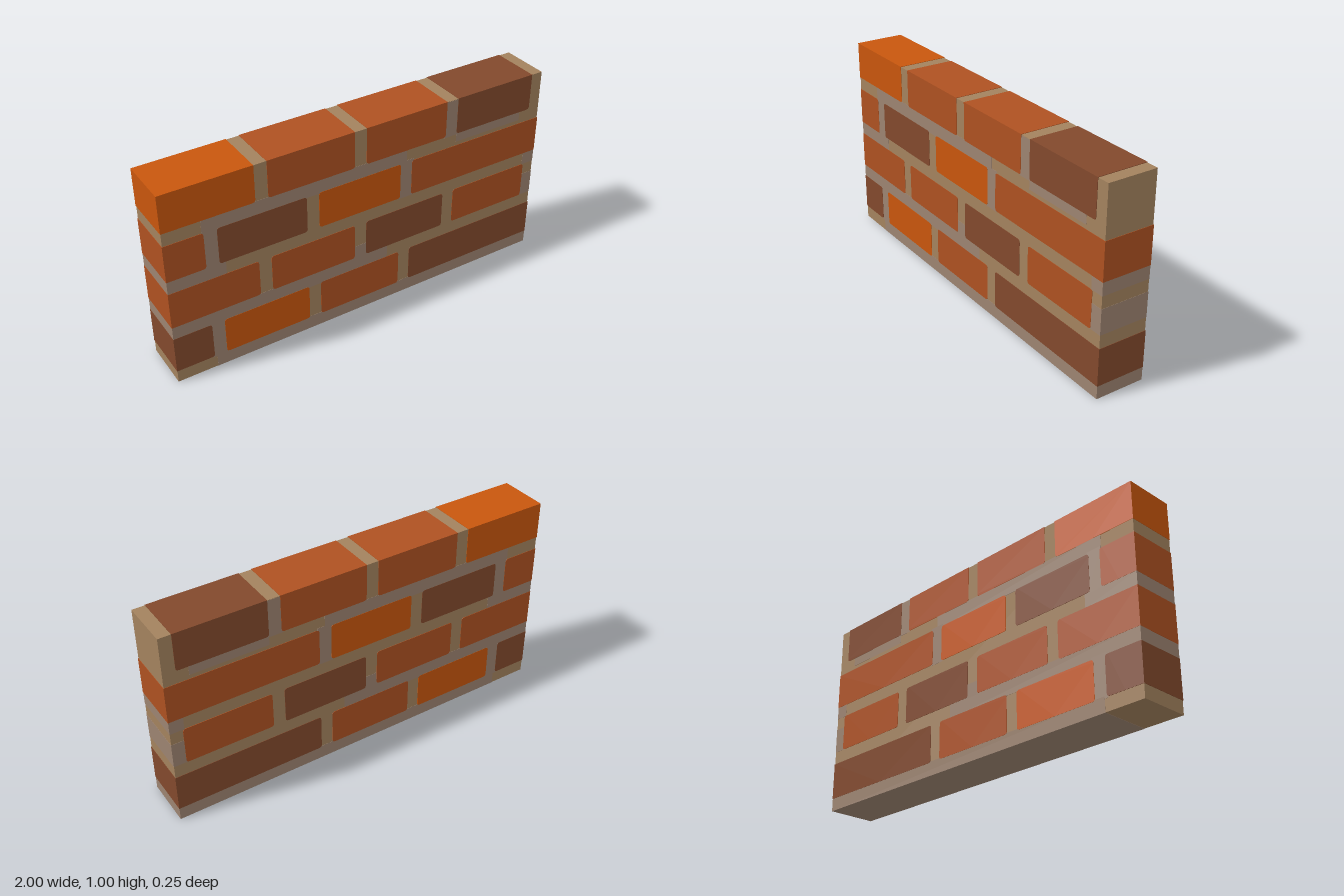
import * as THREE from 'three';

const mat = (name, color) => {
  const m = new THREE.MeshStandardMaterial({ color });
  m.name = name;
  return m;
};

// Brick outline with softened corners, square where it meets the wall's edge
function brickShape(x0, x1, y0, y1) {
  const r = 0.014;
  const left = x0 <= -1, right = x1 >= 1, top = y1 >= 1;
  const s = new THREE.Shape();
  const corner = (x, y, inX, inY, outX, outY, square) => {
    s.lineTo(x + (square ? 0 : inX), y + (square ? 0 : inY));
    if (!square) s.quadraticCurveTo(x, y, x + outX, y + outY);
  };
  s.moveTo((x0 + x1) / 2, y0);
  corner(x1, y0, -r, 0, 0, r, right);
  corner(x1, y1, 0, -r, -r, 0, right || top);
  corner(x0, y1, r, 0, 0, -r, left || top);
  corner(x0, y0, 0, r, r, 0, left);
  s.closePath();
  return s;
}

export function createModel() {
  const wall = new THREE.Group();
  wall.name = 'brickWall';

  const tan = mat('tanMortar', 0xa3825e);
  const grey = mat('greyMortar', 0x9c8370);
  const red = mat('redBrick', 0xae5121);
  const orange = mat('orangeBrick', 0xc8560d);
  const dark = mat('darkBrick', 0x82492c);

  const box = (name, material, x0, x1, y0, y1, depth) => {
    const mesh = new THREE.Mesh(new THREE.BoxGeometry(x1 - x0, y1 - y0, depth), material);
    mesh.position.set((x0 + x1) / 2, (y0 + y1) / 2, 0);
    mesh.name = name;
    wall.add(mesh);
  };

  // Mortar core, a hair inside the bricks
  box('mortarCore', tan, -0.998, 0.998, 0.001, 0.998, 0.246);

  // Grey mortar joints: x0, x1, y0, y1
  const e = 0.999;
  [
    [-0.8, e, 0, 0.07],
    [-0.82, -0.74, 0.06, 0.26],
    [-e, 0.12, 0.245, 0.318],
    [-0.07, 0.01, 0.31, 0.38],
    [0.93, e, 0.315, 0.44],
    [0.93, e, 0.5, 0.565],
    [-e, -0.72, 0.495, 0.565],
    [-0.82, -0.74, 0.56, 0.76],
    [0.18, 0.26, 0.56, 0.76],
    [-0.82, 0.22, 0.745, 0.818],
    [0.5, 0.88, 0.77, 0.818],
    [0.43, 0.51, 0.81, 0.996],
  ].forEach(([x0, x1, y0, y1]) => box('greyJoint', grey, x0, x1, y0, y1, 0.248));

  // Courses from bottom to top: x0, x1, colour
  const courses = [
    [[-1, -0.8125, dark], [-0.75, -0.3125, orange], [-0.25, 0.1875, red], [0.25, 1, dark]],
    [[-1, -0.5625, red], [-0.5, -0.0625, red], [0, 0.4375, dark], [0.5, 0.9375, red]],
    [[-1, -0.8125, red], [-0.75, -0.3125, dark], [-0.25, 0.1875, orange], [0.25, 1, red]],
    [[-1, -0.5625, orange], [-0.5, -0.0625, red], [0, 0.4375, red], [0.5, 0.9375, dark]],
  ];
  courses.forEach((bricks, row) => {
    const course = new THREE.Group();
    course.name = 'course' + (row + 1);
    const y0 = row * 0.25 + 0.0645, y1 = row * 0.25 + 0.25;
    for (const [x0, x1, material] of bricks) {
      const geo = new THREE.ExtrudeGeometry(brickShape(x0, x1, y0, y1), {
        depth: 0.25, bevelEnabled: false, curveSegments: 3,
      });
      geo.translate(0, 0, -0.125);
      const brick = new THREE.Mesh(geo, material);
      brick.name = 'brick';
      course.add(brick);
    }
    wall.add(course);
  });

  return wall;
}
